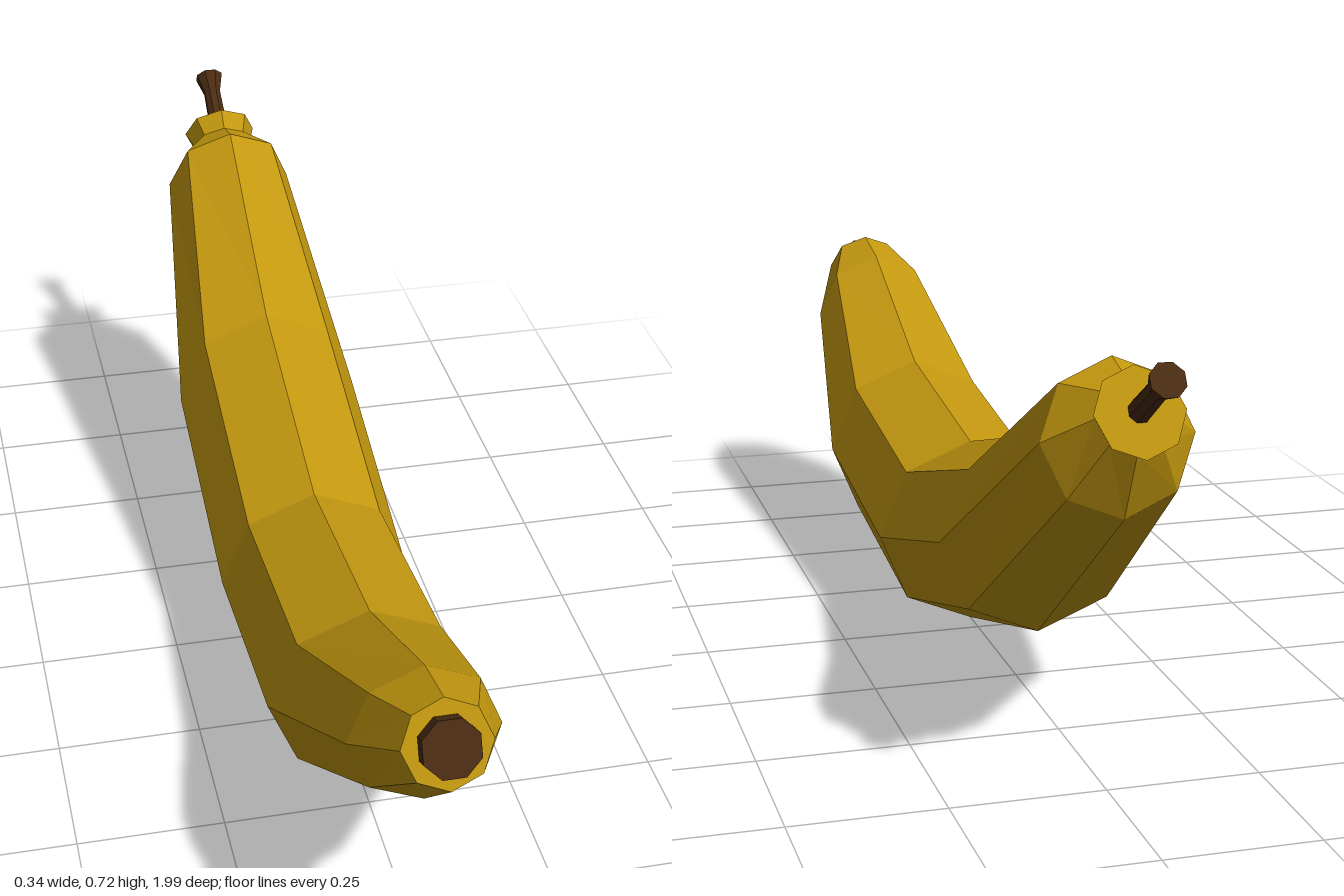
import * as THREE from 'three';

const SIDES = 8;

// Closed loft through tilted octagons, listed back to front: [z, y, radius, tilt in degrees]
function loft(name, color, rings, phase = 0) {
  const pos = [], index = [];
  for (const [z, y, r, deg] of rings) {
    const a = THREE.MathUtils.degToRad(deg);
    for (let j = 0; j < SIDES; j++) {
      const t = ((j + phase) / SIDES) * Math.PI * 2;
      const up = r * Math.sin(t);
      pos.push(r * Math.cos(t), y + up * Math.cos(a), z - up * Math.sin(a));
    }
  }
  const last = rings.length - 1;
  for (let i = 0; i < last; i++) {
    for (let j = 0; j < SIDES; j++) {
      const k = (j + 1) % SIDES;
      const a = i * SIDES + j, b = i * SIDES + k;
      index.push(a, b, a + SIDES, b, b + SIDES, a + SIDES);
    }
  }
  // end faces
  for (let j = 1; j < SIDES - 1; j++) {
    index.push(0, j + 1, j);
    index.push(last * SIDES, last * SIDES + j, last * SIDES + j + 1);
  }
  const geometry = new THREE.BufferGeometry();
  geometry.setAttribute('position', new THREE.Float32BufferAttribute(pos, 3));
  geometry.setIndex(index);
  geometry.computeVertexNormals();
  const mesh = new THREE.Mesh(geometry, new THREE.MeshStandardMaterial({ color, flatShading: true }));
  mesh.name = name;
  return mesh;
}

export function createModel() {
  const group = new THREE.Group();
  group.name = 'banana';

  // curved peel, pinched just before the stem collar
  group.add(loft('peel', 0xc2970f, [
    [-0.87, 0.632, 0.07, -28],
    [-0.835, 0.617, 0.056, -28],
    [-0.775, 0.57, 0.12, -17],
    [-0.38, 0.3, 0.17, 0],
    [0.055, 0.173, 0.17, 0],
    [0.48, 0.225, 0.17, 0],
    [0.83, 0.425, 0.12, 5],
    [0.953, 0.504, 0.07, 25],
  ]));

  // thin stem flaring at its tip
  group.add(loft('stem', 0x4a2c12, [
    [-0.98, 0.705, 0.028, -33],
    [-0.945, 0.684, 0.017, -33],
    [-0.86, 0.628, 0.019, -33],
  ], 0.5));

  // dark disc on the blossom end
  group.add(loft('blossomTip', 0x4a2c12, [
    [0.943, 0.499, 0.047, 25],
    [0.977, 0.515, 0.047, 25],
  ], 0.5));

  return group;
}
